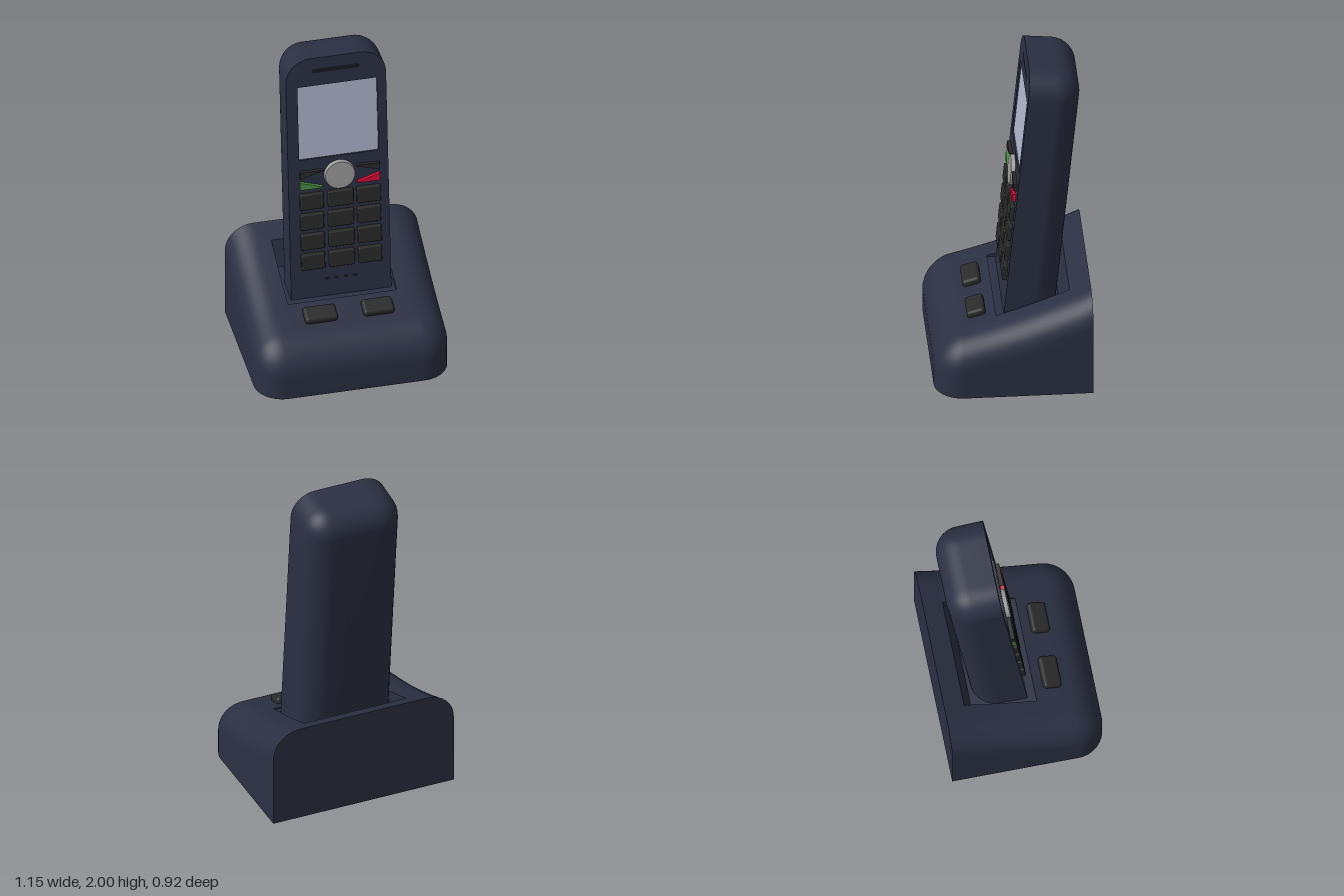
import * as THREE from 'three';
import { toCreasedNormals } from 'three/addons/utils/BufferGeometryUtils.js';
import { RoundedBoxGeometry } from 'three/addons/geometries/RoundedBoxGeometry.js';

const mat = (color) => new THREE.MeshStandardMaterial({ color });
const navy = mat(0x2b3043), dark = mat(0x2a2a2a), hole = mat(0x161922), glass = mat(0xb2b7ce);
const silver = mat(0x9f9f9f), green = mat(0x4a8f45), red = mat(0xd80a35);

function add(parent, name, geometry, material, x = 0, y = 0, z = 0) {
  const mesh = new THREE.Mesh(geometry, material);
  mesh.name = name;
  mesh.position.set(x, y, z);
  parent.add(mesh);
  return mesh;
}

// Closed path round a rectangle: sides, two rounded corners at +z, flat end at -z.
// x, z place a point on the rectangle; dx, dz say which way it moves when the outline grows.
const STEPS = 10;
const path = [];
const run = (f) => { for (let i = 0; i <= STEPS; i++) path.push(f(i / STEPS)); };
const arc = (x, from) => run((t) => {
  const a = from + t * Math.PI / 2;
  return { x, z: 1, dx: Math.cos(a), dz: Math.sin(a) };
});
run((t) => ({ x: 1, z: t, dx: 1, dz: 0 }));
arc(1, 0);
run((t) => ({ x: 1 - 2 * t, z: 1, dx: 0, dz: 1 }));
arc(-1, Math.PI / 2);
run((t) => ({ x: -1, z: 1 - t, dx: -1, dz: 0 }));
run((t) => ({ x: 2 * t - 1, z: 0, dx: 2 * t - 1, dz: 0 }));

const ring = (rect, grow, height) => path.map((p) => {
  const z = rect.z0 + (rect.z1 - rect.z0) * p.z + p.dz * grow;
  return [rect.x + p.x * rect.hw + p.dx * grow, height(z), z];
});
const midOf = (r) => ({ x: r.x, hw: 0, z0: (r.z0 + r.z1) / 2, z1: (r.z0 + r.z1) / 2 });

// Pocket rings from rim to wall foot to floor centre
const pocket = (rim, rimH, floor, floorH) => [
  ring(rim, 0, rimH), ring(rim, 0, rimH), ring(floor, 0, floorH), ring(midOf(floor), 0, floorH),
];

// Rounded body: lower cap rings, wall, rounded edge, upper cap rings
function body(hw, z0, z1, r, top, lower, upper) {
  const core = { x: 0, hw: hw - r, z0, z1: z1 - r };
  const rings = [...(lower || [ring(midOf(core), 0, () => 0)]), ring(core, r, () => 0)];
  for (let i = 0; i <= STEPS; i++) {
    const a = i / STEPS * Math.PI / 2;
    rings.push(ring(core, r * Math.cos(a), (z) => top(z) - r * (1 - Math.sin(a))));
  }
  rings.push(...(upper || [ring(midOf(core), 0, top)]));
  const n = path.length, index = [];
  for (let i = 0; i < rings.length - 1; i++) {
    for (let j = 0; j < n; j++) {
      const k = (j + 1) % n;
      const a = i * n + j, b = a + n, c = i * n + k, d = c + n;
      index.push(a, b, c, b, d, c);
    }
  }
  const g = new THREE.BufferGeometry();
  g.setAttribute('position', new THREE.Float32BufferAttribute(rings.flat(2), 3));
  g.setIndex(index);
  return toCreasedNormals(g, 0.5);
}

// Thin wedge-shaped key from corner points
function wedge(points) {
  const shape = new THREE.Shape(points.map(([x, y]) => new THREE.Vector2(x, y)));
  return new THREE.ExtrudeGeometry(shape, { depth: 0.022, bevelEnabled: false });
}

function createCradle() {
  const cradle = new THREE.Group();
  cradle.name = 'cradle';
  const top = (z) => 0.433 - 0.332 * z + 0.129 * z * z;
  const rim = { x: 0, hw: 0.325, z0: -0.34, z1: 0.09 };
  const floor = { ...rim, z0: -0.29 };
  add(cradle, 'cradleBody',
    body(0.575, -0.46, 0.46, 0.17, top, null, pocket(rim, top, floor, () => 0.395)), navy);

  // Two buttons on the front slope
  for (const [x, w] of [[-0.158, 0.195], [0.185, 0.185]]) {
    const button = add(cradle, 'cradleButton', new RoundedBoxGeometry(w, 0.05, 0.11, 3, 0.02),
      dark, x, top(0.2) + 0.014, 0.2);
    button.rotation.x = 0.28;
  }
  return cradle;
}

function createHandset() {
  const handset = new THREE.Group();
  handset.name = 'handset';
  handset.position.set(0.005, 0.4, 0.042);
  handset.rotation.x = -0.098;

  // Shell with a shallow screen recess in its flat face
  const rim = { x: 0.006, hw: 0.237, z0: 0.93, z1: 1.422 };
  const recess = pocket(rim, () => 0, rim, () => 0.012).reverse();
  const shell = add(handset, 'handsetBody',
    body(0.299, -0.02, 1.608, 0.15, () => 0.31, recess, null), navy);
  shell.rotation.x = -Math.PI / 2;
  add(handset, 'screen', new THREE.PlaneGeometry(0.474, 0.492), glass, 0.006, 1.176, -0.01);

  // Earpiece slot and microphone holes
  const slot = new THREE.Shape();
  slot.absarc(0.128, 0, 0.014, -Math.PI / 2, Math.PI / 2);
  slot.absarc(-0.128, 0, 0.014, Math.PI / 2, Math.PI * 1.5);
  add(handset, 'earpieceSlot', new THREE.ShapeGeometry(slot), hole, 0, 1.522, 0.002);
  for (let i = 0; i < 4; i++) {
    const dot = add(handset, 'microphoneHole', new THREE.CircleGeometry(0.016, 20), hole,
      -0.083 + i * 0.056, 0.112, 0.002);
    dot.scale.y = 0.7;
  }

  // Number keys
  for (let row = 0; row < 4; row++) {
    for (const [x, w] of [[-0.165, 0.14], [0.007, 0.152], [0.175, 0.14]]) {
      add(handset, 'numberKey', new RoundedBoxGeometry(w, 0.104, 0.05, 2, 0.008), dark,
        x, 0.246 + row * 0.1355, 0);
    }
  }

  // Round navigation key
  const pad = add(handset, 'navigationKey', new THREE.CylinderGeometry(0.088, 0.092, 0.024, 48),
    silver, 0.006, 0.809, 0.012);
  pad.rotation.x = Math.PI / 2;

  // Soft keys above, call keys below, on each side of the round key
  for (const side of [-1, 1]) {
    const at = (pts) => {
      const moved = pts.map(([x, y]) => [0.006 + side * x, y]);
      return wedge(side < 0 ? moved.reverse() : moved);
    };
    add(handset, 'softKey',
      at([[0.1, 0.852], [0.238, 0.81], [0.238, 0.857], [0.1, 0.857]]), dark);
    add(handset, side < 0 ? 'callKey' : 'endKey',
      at([[0.105, 0.739], [0.238, 0.739], [0.238, 0.788], [0.105, 0.746]]), side < 0 ? green : red);
  }
  return handset;
}

export function createModel() {
  const model = new THREE.Group();
  model.name = 'cordlessPhone';
  model.add(createCradle(), createHandset());
  return model;
}
